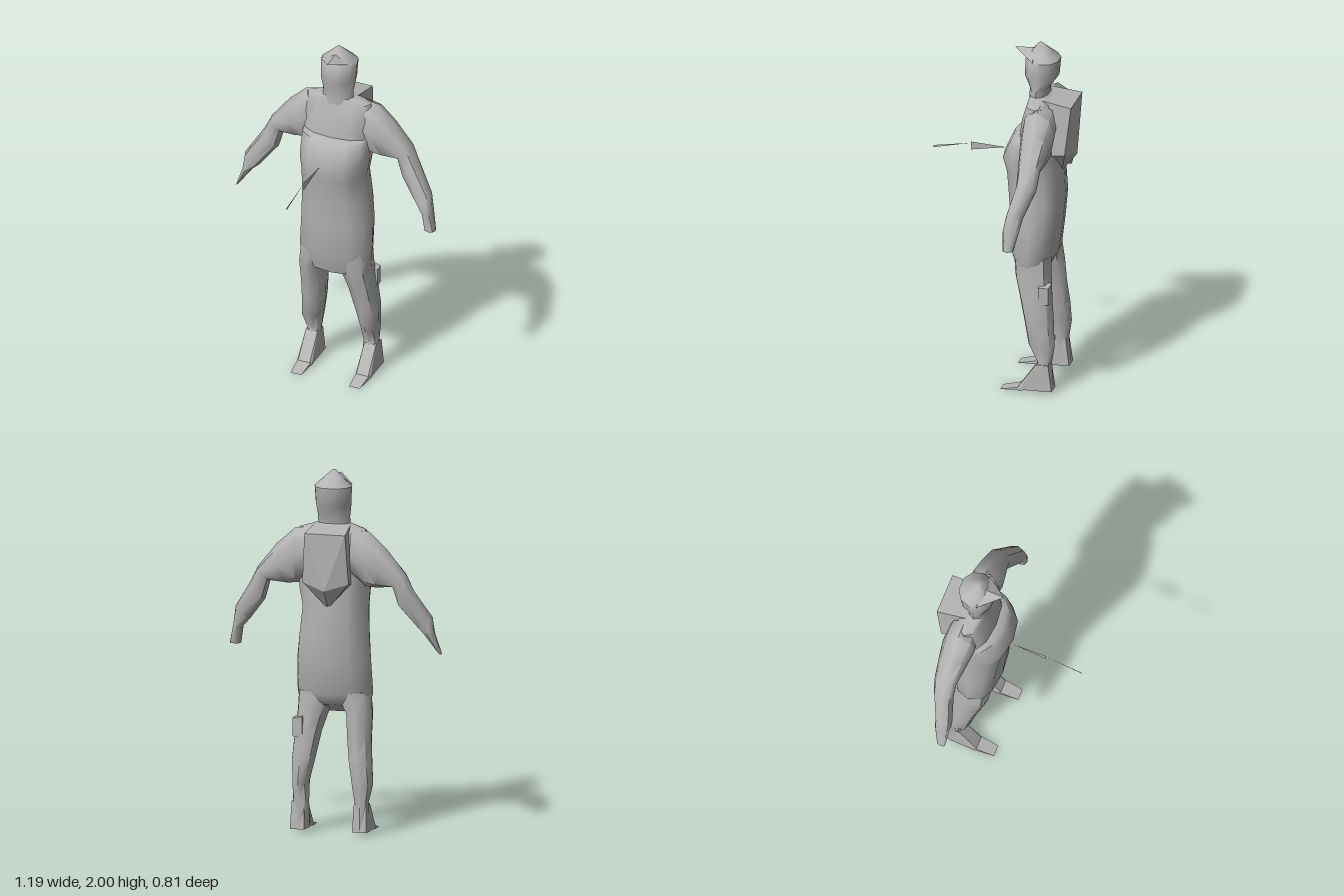
import * as THREE from 'three';
import { toCreasedNormals } from 'three/addons/utils/BufferGeometryUtils.js';
import { ConvexGeometry } from 'three/addons/geometries/ConvexGeometry.js';

const grey = new THREE.MeshStandardMaterial({ color: 0xb4b4b4, side: THREE.DoubleSide });
grey.name = 'grey';
const V = (x, y, z) => new THREE.Vector3(x, y, z);

// Closed ring of points round centre c; square < 1 makes the section boxier
function ring(c, u, v, n, square) {
  const pow = (a) => Math.sign(a) * Math.abs(a) ** square;
  return Array.from({ length: n }, (_, k) => {
    const t = (k / n) * Math.PI * 2;
    return c.clone().addScaledVector(u, pow(Math.cos(t))).addScaledVector(v, pow(Math.sin(t)));
  });
}

// Skin over a row of rings, closed at both ends
function loft(rings, crease = 0.9) {
  const n = rings[0].length, last = (rings.length - 1) * n, index = [];
  for (let i = 0; i < rings.length - 1; i++) {
    for (let k = 0; k < n; k++) {
      const a = i * n + k, b = i * n + ((k + 1) % n);
      index.push(a, b, b + n, a, b + n, a + n);
    }
  }
  for (let k = 1; k < n - 1; k++) index.push(0, k + 1, k, last, last + k, last + k + 1);
  const geo = new THREE.BufferGeometry().setFromPoints(rings.flat());
  geo.setIndex(index);
  return toCreasedNormals(geo.toNonIndexed(), crease);
}

// Upright body from rows of [y, xMin, xMax, zFront, zBack, lift of the back edge]
function upright(rows, n, square = 0.85) {
  return loft(rows.map(([y, x0, x1, zf, zb, lift = 0]) => ring(
    V((x0 + x1) / 2, y + lift / 2, (zf + zb) / 2),
    V((x1 - x0) / 2, 0, 0), V(0, lift / 2, (zb - zf) / 2), n, square)));
}

// Arm from rows of [outer x, outer y, inner x, inner y, zFront, zBack]
function armGeometry(rows, side) {
  return loft(rows.map(([ox, oy, ix, iy, zf, zb]) => ring(
    V(side * (ox + ix) / 2, (oy + iy) / 2, (zf + zb) / 2),
    V(side * (ox - ix) / 2, (oy - iy) / 2, 0), V(0, 0, side * (zf - zb) / 2), 8, 0.85)));
}

export function createModel() {
  const model = new THREE.Group();
  const add = (name, geometry) => {
    const mesh = new THREE.Mesh(geometry, grey);
    mesh.name = name;
    model.add(mesh);
  };
  const hull = (points) => new ConvexGeometry(points.map((p) => V(...p)));

  // Coat with a folded chest and a hem that rises at the back
  add('coat', upright([
    [0.64, -0.19, 0.19, -0.10, -0.27, 0.07],
    [0.77, -0.215, 0.21, -0.06, -0.30],
    [0.95, -0.205, 0.21, -0.05, -0.325],
    [1.10, -0.195, 0.195, -0.035, -0.34],
    [1.25, -0.19, 0.18, -0.02, -0.33],
    [1.34, -0.195, 0.20, 0.0, -0.33],
    [1.42, -0.20, 0.20, -0.035, -0.32],
    [1.47, -0.20, 0.20, -0.06, -0.32],
    [1.48, -0.20, 0.20, -0.10, -0.32],
    [1.58, -0.20, 0.20, -0.115, -0.31],
    [1.675, -0.19, 0.19, -0.145, -0.28],
    [1.705, -0.09, 0.09, -0.15, -0.25],
  ], 12));

  // Head, neck and cap
  add('head', upright([
    [1.66, -0.095, 0.095, -0.14, -0.25],
    [1.74, -0.09, 0.09, -0.145, -0.25],
    [1.81, -0.10, 0.10, -0.115, -0.30],
    [1.91, -0.105, 0.105, -0.12, -0.31],
    [1.95, -0.06, 0.06, -0.15, -0.265],
    [1.998, -0.008, 0.008, -0.19, -0.21],
  ], 10, 0.95));
  add('capBrim', hull([
    [-0.1, 1.915, -0.18], [0.1, 1.915, -0.18], [0, 1.955, -0.055],
    [0, 1.965, -0.16], [0, 1.93, -0.13],
  ]));

  // Backpack: wide at the back, with a pointed foot
  add('backpack', hull([
    [-0.10, 1.70, -0.22], [0.10, 1.70, -0.22], [-0.118, 1.675, -0.40], [0.11, 1.675, -0.40],
    [-0.13, 1.40, -0.37], [0.13, 1.40, -0.37], [-0.12, 1.38, -0.25], [0.12, 1.38, -0.25],
    [0, 1.36, -0.405], [0, 1.25, -0.32],
  ]));

  // Arms, the right hand tapering outwards
  const arm = [
    [0.12, 1.69, 0.12, 1.42, -0.155, -0.32],
    [0.21, 1.67, 0.19, 1.37, -0.145, -0.33],
    [0.31, 1.58, 0.25, 1.365, -0.16, -0.32],
    [0.415, 1.45, 0.345, 1.375, -0.18, -0.305],
    [0.46, 1.36, 0.375, 1.27, -0.18, -0.295],
    [0.555, 1.21, 0.47, 1.15, -0.15, -0.245],
  ];
  add('leftArm', armGeometry([...arm,
    [0.57, 1.11, 0.515, 1.10, -0.14, -0.23], [0.593, 1.003, 0.53, 1.003, -0.145, -0.205]], 1));
  add('rightArm', armGeometry([...arm,
    [0.565, 1.12, 0.515, 1.11, -0.155, -0.24], [0.60, 1.005, 0.585, 1.015, -0.16, -0.205]], -1));

  // Legs, rows from ankle to hip
  add('leftLeg', upright([
    [0.02, 0.125, 0.21, -0.17, -0.32],
    [0.18, 0.12, 0.21, -0.23, -0.31],
    [0.27, 0.125, 0.215, -0.18, -0.325],
    [0.40, 0.095, 0.225, -0.155, -0.32],
    [0.55, 0.065, 0.215, -0.12, -0.305],
    [0.66, 0.03, 0.205, -0.09, -0.295],
    [0.78, 0.01, 0.20, -0.08, -0.29],
  ], 8));
  add('rightLeg', upright([
    [0.02, -0.215, -0.14, -0.17, -0.32],
    [0.18, -0.215, -0.135, -0.23, -0.31],
    [0.28, -0.235, -0.115, -0.18, -0.325],
    [0.40, -0.225, -0.095, -0.155, -0.32],
    [0.53, -0.215, -0.08, -0.12, -0.305],
    [0.66, -0.215, -0.07, -0.09, -0.295],
    [0.78, -0.205, -0.01, -0.08, -0.29],
  ], 8));

  // Feet: sloping instep and a thin toe
  for (const [side, name] of [[1, 'left'], [-1, 'right']]) {
    const points = (rows) => hull(rows.flatMap(([half, y, z]) =>
      [-half, half].map((dx) => [side * 0.175 + dx, y, z])));
    add(name + 'Foot', points([
      [0.04, 0.02, -0.32], [0.045, 0.015, -0.14], [0.035, 0.025, -0.13],
      [0.035, 0.17, -0.23], [0.035, 0.17, -0.30],
    ]));
    add(name + 'Toe', points([
      [0.045, 0.012, -0.16], [0.04, 0.028, -0.14], [0.032, 0, -0.03],
    ]));
  }

  // Small pouch on the left thigh
  add('thighPouch', hull([
    [0.15, 0.52, -0.24], [0.15, 0.52, -0.305], [0.212, 0.53, -0.245], [0.205, 0.53, -0.30],
    [0.15, 0.64, -0.24], [0.15, 0.64, -0.305], [0.212, 0.63, -0.245], [0.205, 0.63, -0.30],
  ]));

  // Flat blades reaching out in front of the chest, given as [z, y] corners
  const blades = [
    [[0.0, 1.337], [0.2, 1.345], [0.2, 1.298]],
    [[0.2, 1.337], [0.41, 1.298], [0.41, 1.285]],
  ];
  for (const corners of blades) {
    const shape = new THREE.Shape(corners.map(([z, y]) => new THREE.Vector2(-z, y)));
    add('frontBlade', new THREE.ShapeGeometry(shape).rotateY(Math.PI / 2).translate(-0.022, 0, 0));
  }
  return model;
}
